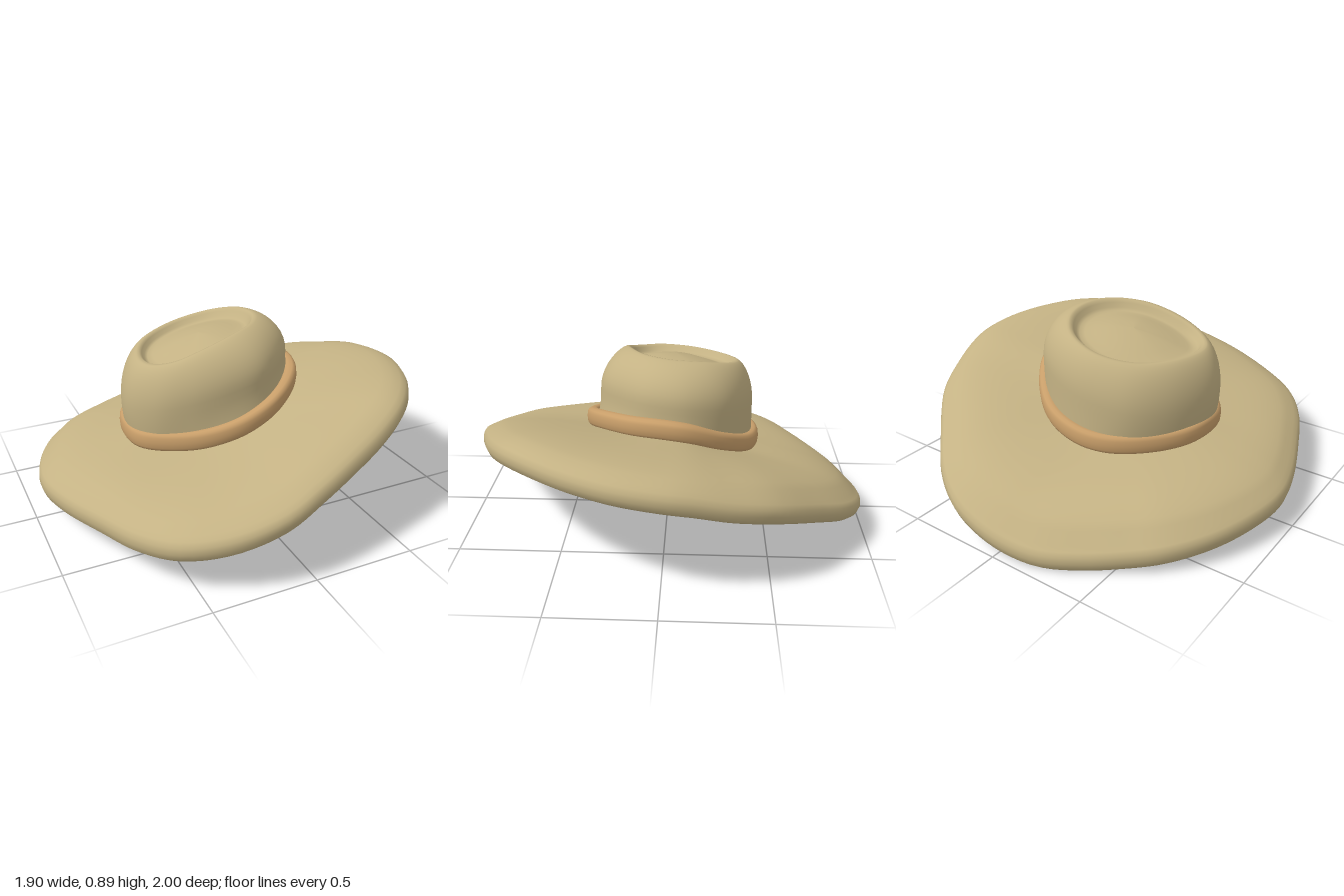
import * as THREE from 'three';

const N = 128; // divisions around the hat
const CX = -0.1, CZ = -0.04; // crown axis

// Smooth closed outline through [x, y, z] points, resampled at even angles about the crown axis
function ring(points) {
  const curve = new THREE.CatmullRomCurve3(points.map(p => new THREE.Vector3(...p)), true, 'centripetal');
  const fine = curve.getPoints(1200);
  const angle = p => Math.atan2(p.z - CZ, p.x - CX);
  return Array.from({ length: N }, (_, i) => {
    const a = (i / N) * Math.PI * 2;
    let best = fine[0], gap = Infinity;
    for (const p of fine) {
      const d = Math.abs(Math.sin((angle(p) - a) / 2));
      if (d < gap) { gap = d; best = p; }
    }
    return best.clone();
  });
}

// Ring scaled towards the crown axis and raised
const inset = (r, s, dy = 0) => r.map(p =>
  new THREE.Vector3(CX + (p.x - CX) * s, p.y + dy, CZ + (p.z - CZ) * s));

// Blend of two rings: t across, u in height
const blend = (a, b, t, u = t) => a.map((p, i) => {
  const q = p.clone().lerp(b[i], t);
  q.y = p.y + (b[i].y - p.y) * u;
  return q;
});

const pole = y => Array.from({ length: N }, () => new THREE.Vector3(CX, y, CZ));

// Skin a list of rings
function loft(name, rows, color, closed = false) {
  const pos = [], index = [];
  for (const row of rows) for (const p of row) pos.push(p.x, p.y, p.z);
  const count = closed ? rows.length : rows.length - 1;
  for (let j = 0; j < count; j++) {
    const k = (j + 1) % rows.length;
    for (let i = 0; i < N; i++) {
      const n = (i + 1) % N;
      const a = j * N + i, b = k * N + i, c = j * N + n, d = k * N + n;
      index.push(a, b, c, c, b, d);
    }
  }
  const g = new THREE.BufferGeometry();
  g.setAttribute('position', new THREE.Float32BufferAttribute(pos, 3));
  g.setIndex(index);
  g.computeVertexNormals();
  const mesh = new THREE.Mesh(g, new THREE.MeshStandardMaterial({ color, side: THREE.DoubleSide }));
  mesh.name = name;
  return mesh;
}

export function createModel() {
  const felt = 0xc4b284, leather = 0xc99f6a;

  // Lower edge of the wavy brim
  const rim = ring([
    [0.95, 0.475, -0.02], [0.93, 0.5, 0.2], [0.845, 0.515, 0.42], [0.74, 0.52, 0.585], [0.61, 0.505, 0.72],
    [0.43, 0.455, 0.825], [0.24, 0.4, 0.9], [0.05, 0.34, 0.96], [-0.15, 0.27, 1], [-0.38, 0.205, 0.965],
    [-0.58, 0.165, 0.86], [-0.71, 0.14, 0.69], [-0.81, 0.125, 0.46], [-0.91, 0.1, 0.18],
    [-0.95, 0.09, -0.02], [-0.93, 0.08, -0.2], [-0.84, 0.06, -0.45], [-0.7, 0.04, -0.65],
    [-0.55, 0.02, -0.77], [-0.39, 0.005, -0.875], [-0.23, 0, -0.955], [-0.08, 0.015, -0.99],
    [0.08, 0.05, -1], [0.26, 0.1, -0.97], [0.43, 0.16, -0.88], [0.59, 0.24, -0.73],
    [0.78, 0.34, -0.52], [0.88, 0.4, -0.32], [0.93, 0.45, -0.15],
  ]);

  // Outer line of the hatband
  const band = ring([
    [-0.53, 0.39, 0.05], [-0.5, 0.385, -0.15], [-0.38, 0.38, -0.32], [-0.21, 0.38, -0.44],
    [-0.05, 0.395, -0.47], [0.15, 0.435, -0.42], [0.32, 0.515, -0.28], [0.405, 0.585, -0.12],
    [0.408, 0.603, 0], [0.35, 0.597, 0.17], [0.22, 0.57, 0.32], [0.08, 0.53, 0.4],
    [-0.08, 0.48, 0.42], [-0.25, 0.433, 0.37], [-0.4, 0.405, 0.27], [-0.5, 0.392, 0.16],
  ]);

  // Widest line of the crown
  const belly = ring([
    [-0.525, 0.055], [-0.46, -0.2], [-0.31, -0.37], [-0.1, -0.43], [0.1, -0.4], [0.28, -0.28],
    [0.36, -0.1], [0.33, 0.08], [0.21, 0.23], [0.07, 0.325], [-0.1, 0.345], [-0.29, 0.31], [-0.44, 0.22],
  ].map(([x, z]) => [x, 0.635 + 0.2 * x + 0.08 * z, z]));

  // Ridge around the crown top
  const ridge = ring([
    [-0.44, 0.755, 0.05], [-0.4, 0.755, -0.12], [-0.28, 0.76, -0.28], [-0.1, 0.79, -0.35],
    [0.08, 0.835, -0.305], [0.18, 0.872, -0.18], [0.195, 0.887, -0.02], [0.12, 0.886, 0.11],
    [-0.03, 0.868, 0.19], [-0.2, 0.825, 0.215], [-0.33, 0.782, 0.195], [-0.41, 0.76, 0.135],
  ]);

  // Brim: shallow hollow underside, rolled edge, gently domed top
  const foot = inset(band, 0.93, -0.045);
  const rimTop = inset(rim, 0.955, 0.115);
  const under = inset(rim, 0.92, 0.03);
  const apex = pole(0.36);
  const brimRows = [];
  for (let i = 0; i <= 12; i++) brimRows.push(blend(apex, under, i / 12, (i / 12) ** 1.35));
  brimRows.push(
    inset(rim, 0.95, 0.005), inset(rim, 0.97), inset(rim, 0.988, 0.015), inset(rim, 1, 0.05),
    inset(rim, 0.995, 0.08), inset(rim, 0.98, 0.102));
  for (let i = 0; i <= 12; i++) {
    const t = i / 12, hump = Math.sin(Math.PI * t ** 0.6);
    const row = blend(rimTop, foot, t);
    row.forEach((p, k) => { p.y += hump * (0.03 + 0.03 * Math.max(0, -rim[k].z)); });
    brimRows.push(row);
  }

  // Crown: bulging wall, rounded shoulder, dished top with a shallow dome
  const crownRows = [];
  const base = inset(band, 0.92, -0.07);
  for (let i = 0; i < 6; i++) crownRows.push(blend(base, belly, Math.sin((i / 6) * Math.PI / 2), i / 6));
  for (let i = 0; i <= 10; i++) {
    const a = (i / 10) * Math.PI / 2;
    crownRows.push(blend(belly, ridge, 1 - Math.max(0, Math.cos(a)) ** 1.35, Math.sin(a)));
  }
  const dish = [[0.96, 0], [0.92, -0.012], [0.88, -0.032], [0.83, -0.042], [0.75, -0.04],
    [0.6, -0.028], [0.4, -0.013], [0.2, -0.004], [0, 0]];
  const top = pole(ridge.reduce((s, p) => s + p.y / N, 0));
  for (const [s, dy] of dish) crownRows.push(inset(blend(top, ridge, s), 1, dy));

  // Hatband: flattened roll around the crown foot
  const bandRows = [];
  for (let i = 0; i < 14; i++) {
    const a = (i / 14) * Math.PI * 2;
    const round = v => Math.sign(v) * Math.pow(Math.abs(v), 0.75);
    bandRows.push(inset(band, 0.93 + 0.07 * round(Math.cos(a)), 0.048 * round(Math.sin(a))));
  }

  const hat = new THREE.Group();
  hat.name = 'hat';
  hat.add(
    loft('brim', brimRows, felt),
    loft('crown', crownRows, felt),
    loft('hatband', bandRows, leather, true));
  return hat;
}
